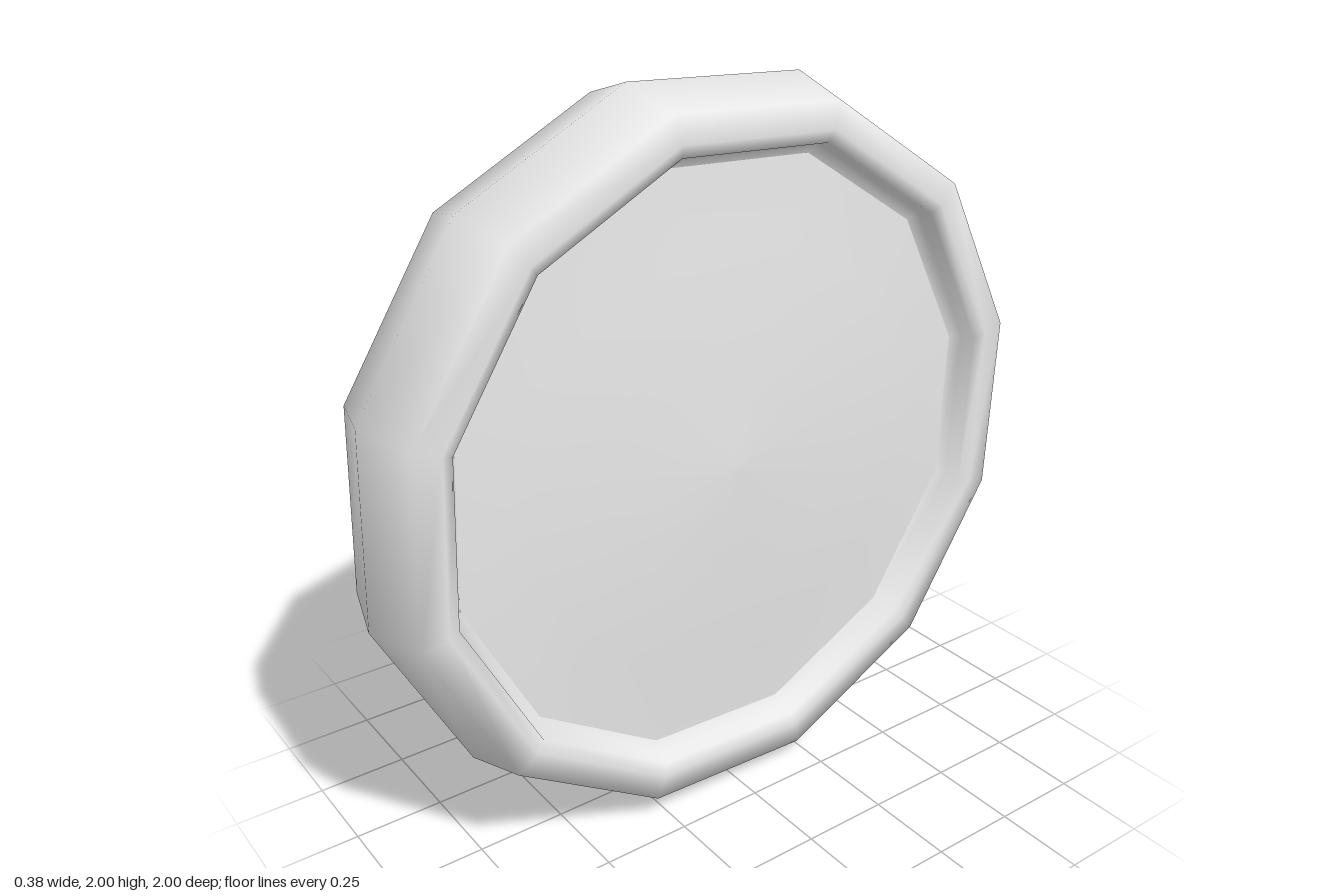
import * as THREE from 'three';

const SIDES = 12;
const TURN = THREE.MathUtils.degToRad(17.3);

// Revolve a [radius, offset] profile into a twelve-sided form around the x axis
function revolve(name, profile, material) {
  const points = profile.map(([r, h]) => new THREE.Vector2(r, h));
  const geometry = new THREE.LatheGeometry(points, SIDES, TURN);
  geometry.rotateZ(Math.PI / 2);
  const mesh = new THREE.Mesh(geometry, material);
  mesh.name = name;
  mesh.position.y = 1;
  return mesh;
}

// The same profile on the opposite side, walked the other way
const mirror = (profile) => profile.map(([r, h]) => [r, -h]).reverse();

export function createModel() {
  const group = new THREE.Group();
  group.name = 'disc';
  const grey = new THREE.MeshStandardMaterial({ color: 0xe7e7e7 });
  grey.name = 'light grey';

  // Raised rim: outer crown, side, rounded inner lip, wall and recess bevel
  const half = [[0.974, 0.18], [0.9, 0.19], [0.866, 0.176], [0.861, 0.13], [0.83, 0.112]];
  group.add(revolve('rim', [...mirror(half), [1.025, 0], ...half], grey));

  // Gently domed recessed faces
  const dome = [[0.83, 0.112], [0.62, 0.125], [0.4, 0.145], [0, 0.16]];
  group.add(revolve('rightFace', dome, grey));
  group.add(revolve('leftFace', mirror(dome), grey));
  return group;
}
